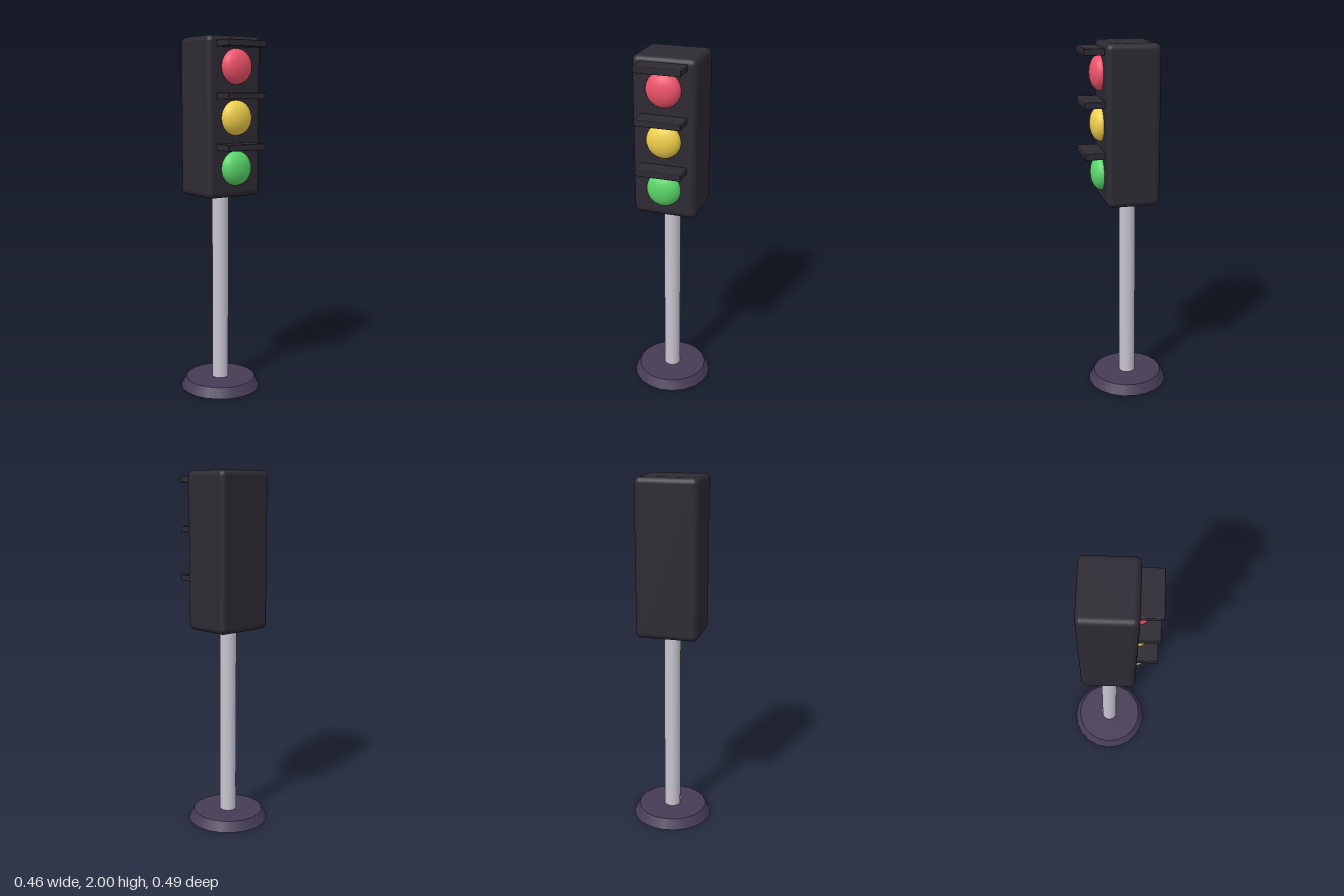
import * as THREE from 'three';
import { RoundedBoxGeometry } from 'three/addons/geometries/RoundedBoxGeometry.js';

const AXIS_Z = -0.013; // depth of the pole axis

function material(color) {
  return new THREE.MeshStandardMaterial({ color });
}

function addPart(parent, name, geometry, mat, x, y, z) {
  const mesh = new THREE.Mesh(geometry, mat);
  mesh.name = name;
  mesh.position.set(x, y, z);
  parent.add(mesh);
  return mesh;
}

export function createModel() {
  const model = new THREE.Group();
  model.name = 'trafficLight';

  const dark = material(0x2d2a33);

  // Foot: a low tapered disc
  addPart(model, 'base', new THREE.CylinderGeometry(0.2, 0.23, 0.055, 20), material(0x463c56), 0, 0.0275, AXIS_Z);

  // Pole running from the foot into the housing
  addPart(model, 'pole', new THREE.CylinderGeometry(0.047, 0.047, 1.12, 16), material(0xc8c5d3), 0, 0.6, AXIS_Z);

  // Signal housing with rounded edges
  addPart(model, 'housing', new RoundedBoxGeometry(0.35, 0.87, 0.293, 4, 0.032), dark, 0, 1.565, AXIS_Z);

  // Three signals, each a flattened domed lens under a flat visor
  const signals = [
    ['red', 0xf0536a, 1.838],
    ['yellow', 0xf0cf4c, 1.565],
    ['green', 0x5ad669, 1.292],
  ];
  const lensGeometry = new THREE.SphereGeometry(0.095, 24, 16);
  const visorGeometry = new RoundedBoxGeometry(0.25, 0.035, 0.125, 2, 0.004);
  for (const [name, color, y] of signals) {
    const lens = addPart(model, name + 'Lens', lensGeometry, material(color), 0, y, 0.137);
    lens.scale.z = 0.6;
    addPart(model, name + 'Visor', visorGeometry, dark, 0, y + 0.118, 0.1795);
  }

  return model;
}
